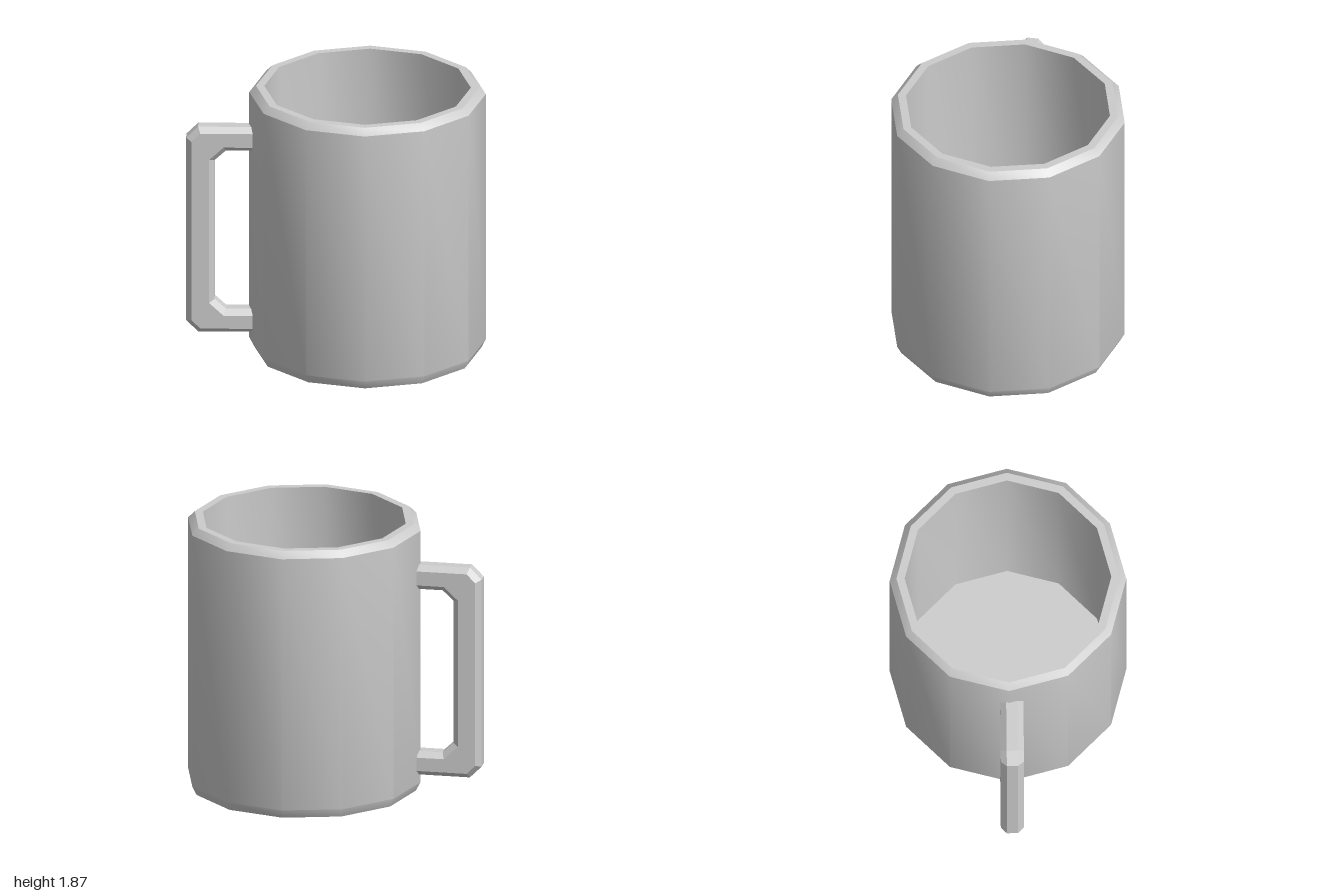
import * as THREE from 'three';
import { toCreasedNormals } from 'three/addons/utils/BufferGeometryUtils.js';

const points = (list) => list.map(([x, y]) => new THREE.Vector2(x, y));

export function createModel() {
  const model = new THREE.Group();
  model.name = 'mug';
  const grey = new THREE.MeshStandardMaterial({ color: 0xcccccc });
  grey.name = 'light grey';

  // Twelve-sided cup: underside, chamfered foot, wall, bevelled rim, hollow inside
  const profile = points([
    [0, 0], [0.76, 0], [0.79, 0.06], [0.79, 1.82], [0.745, 1.865],
    [0.69, 1.865], [0.69, 0.1], [0, 0.1],
  ]);
  const cup = new THREE.Mesh(
    toCreasedNormals(new THREE.LatheGeometry(profile, 12), 0.6), grey);
  cup.name = 'cup';
  cup.position.x = 0.21;
  model.add(cup);

  // Angular handle with bevelled edges, its ends sunk into the cup wall
  const outline = new THREE.Shape(points([
    [-0.5, 1.59], [-0.92, 1.59], [-1, 1.51], [-1, 0.2], [-0.92, 0.12], [-0.5, 0.12],
    [-0.5, 0.285], [-0.735, 0.285], [-0.81, 0.355], [-0.81, 1.35], [-0.735, 1.42], [-0.5, 1.42],
  ]));
  const handleGeometry = new THREE.ExtrudeGeometry(outline, {
    depth: 0.075, bevelThickness: 0.04, bevelSize: 0.036, bevelOffset: -0.036, bevelSegments: 1,
  });
  const handle = new THREE.Mesh(toCreasedNormals(handleGeometry, 0.3), grey);
  handle.name = 'handle';
  handle.position.z = -0.02;
  model.add(handle);

  return model;
}
